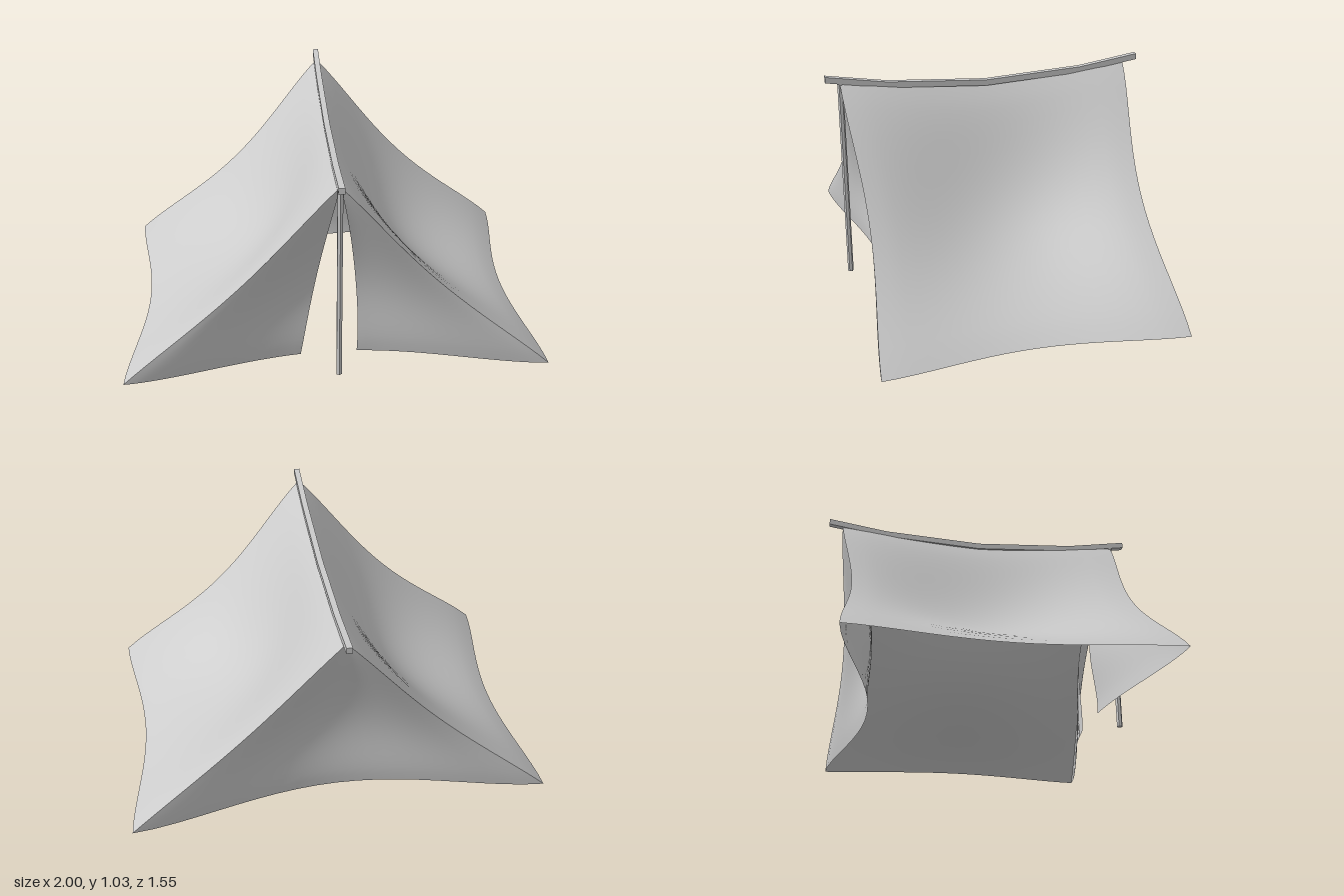
import * as THREE from 'three';

const cloth = new THREE.MeshStandardMaterial({ color: 0xcccccc, side: THREE.DoubleSide });
const wood = new THREE.MeshStandardMaterial({ color: 0xcccccc, flatShading: true });

const HALF = 0.705; // half length of the canvas
const lerp = THREE.MathUtils.lerp;

// Sag of stretched cloth: nearly straight at both ends, rounded in the middle
const bow = (t) => Math.max(0, Math.sin(Math.PI * t)) ** 1.5;

// Sagging gable edge from the apex (t = 0) to the ground corner (t = 1)
const edgeX = (t) => t - 0.04 * bow(t);
const edgeY = (t) => 1 - t - 0.04 * bow(t);
const edgeZ = (t) => HALF - 0.05 * bow(t);

// Cloth sheet: rule(u, t) gives a point, u to the right and t downwards
function sheet(name, rule, nu = 20, nt = 20) {
  const geo = new THREE.PlaneGeometry(1, 1, nu, nt);
  const pos = geo.attributes.position;
  for (let i = 0; i < pos.count; i++) {
    pos.setXYZ(i, ...rule(pos.getX(i) + 0.5, 0.5 - pos.getY(i)));
  }
  geo.computeVertexNormals();
  const mesh = new THREE.Mesh(geo, cloth);
  mesh.name = name;
  return mesh;
}

// Roof side: ridge, hem and gable edges pulled inwards, with a hollow in the middle
const roofRule = (u, t) => {
  const hollow = 0.06 * bow(u) * bow(t);
  return [
    edgeX(t) - 0.08 * bow(u) * t - hollow,
    edgeY(t) - 0.065 * bow(u) * (1 - t) - hollow,
    lerp(edgeZ(t), -edgeZ(t), u),
  ];
};

// End wall between x limits left(t) and right(t), bowing inwards towards the ground
const wallRule = (left, right) => (u, t) => {
  const x = lerp(left(t), right(t), u);
  const s = t > 0 ? x / edgeX(t) : 0;
  const depth = 0.17 * t + 0.03 * bow(t);
  return [x, edgeY(t), edgeZ(t) - depth * bow((1 + s) / 2)];
};

export function createModel() {
  const model = new THREE.Group();

  // Roof sides
  const roofLeft = sheet('roofLeft', roofRule);
  const roofRight = sheet('roofRight', roofRule);
  roofRight.rotation.y = Math.PI;
  model.add(roofLeft, roofRight);

  // Closed back wall
  const back = sheet('backWall', wallRule((t) => -edgeX(t), edgeX));
  back.rotation.y = Math.PI;
  model.add(back);

  // Front flaps, parted around the pole
  model.add(
    sheet('frontFlapRight', wallRule((t) => -edgeX(t), (t) => -0.19 * t + 0.02 * t * t)),
    sheet('frontFlapLeft', wallRule((t) => 0.24 * t - 0.14 * t * t, edgeX)),
  );

  // Ridge pole: a square beam bent in four straight pieces
  const bends = [[-0.773, 1.003], [-0.48, 0.957], [0, 0.928], [0.48, 0.957], [0.773, 1.003]];
  const lower = bends.map(([z, y]) => new THREE.Vector2(z, y));
  const upper = bends.map(([z, y]) => new THREE.Vector2(z, y + 0.029)).reverse();
  const beam = new THREE.ExtrudeGeometry(new THREE.Shape([...lower, ...upper]), {
    depth: 0.028,
    bevelEnabled: false,
  });
  beam.translate(0, 0, -0.014).rotateY(Math.PI / 2);
  const ridge = new THREE.Mesh(beam, wood);
  ridge.name = 'ridgePole';
  model.add(ridge);

  // Upright pole in the doorway
  const pole = new THREE.Mesh(new THREE.CylinderGeometry(0.014, 0.014, 1, 6), wood);
  pole.name = 'frontPole';
  pole.position.set(0, 0.5, 0.702);
  model.add(pole);

  return model;
}
